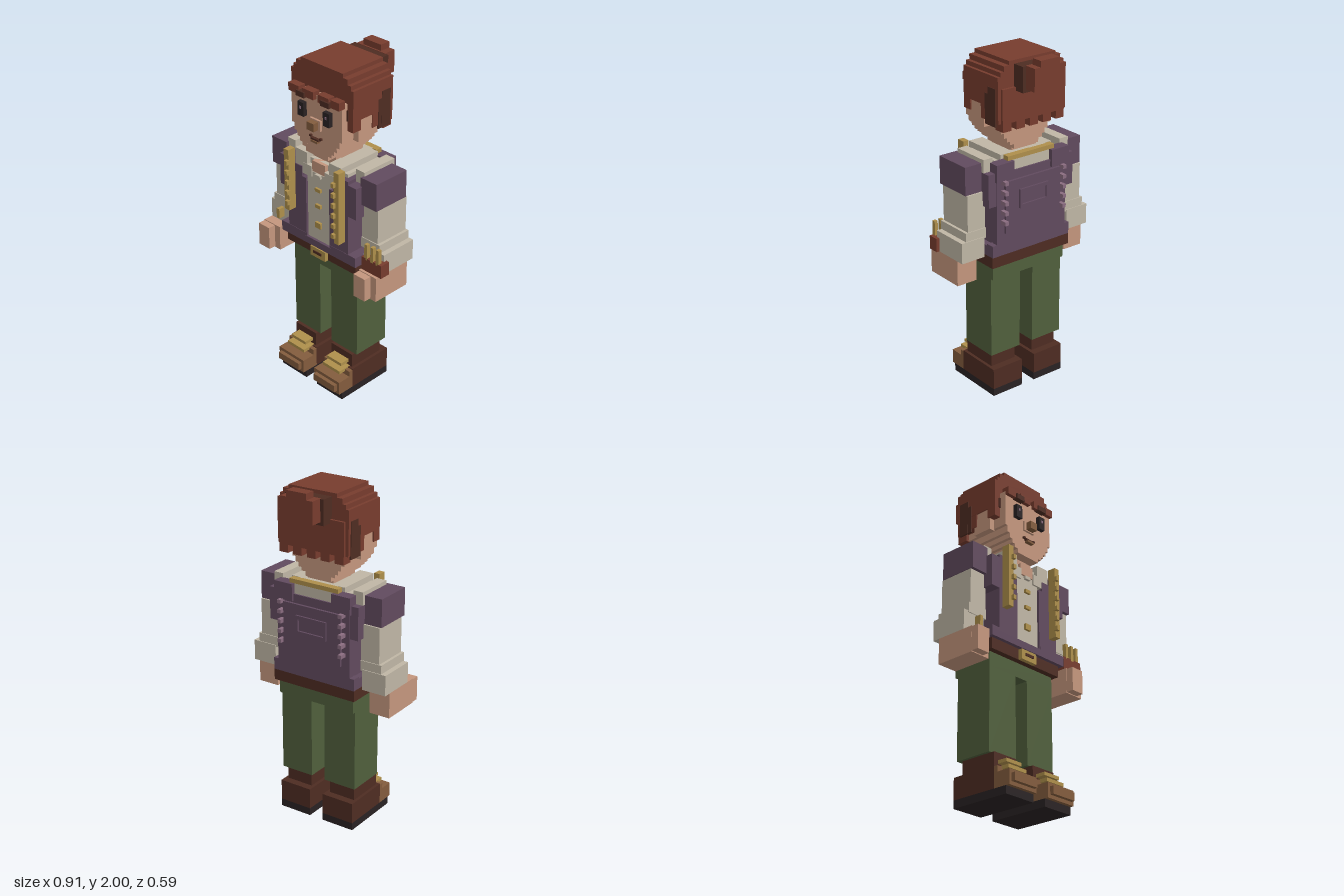
import * as THREE from 'three';

const colours = {
  skin: 0xc4967d, hair: 0x773c2e, darkBrown: 0x4e2c22, purple: 0x614a5e, lilac: 0x8a6c80,
  cream: 0xbfb6a5, gold: 0xae8f4b, green: 0x505f3c, leather: 0x835c3d, black: 0x292223,
};
const mats = {};
for (const [name, color] of Object.entries(colours)) {
  mats[name] = new THREE.MeshStandardMaterial({ color });
  mats[name].name = name;
}

const MID = -0.0125; // the body's own centre line

export function createModel() {
  const model = new THREE.Group();

  // Box from its limits on each axis
  const box = (name, mat, x0, x1, y0, y1, z0, z1) => {
    const mesh = new THREE.Mesh(new THREE.BoxGeometry(x1 - x0, y1 - y0, z1 - z0), mats[mat]);
    mesh.position.set((x0 + x1) / 2, (y0 + y1) / 2, (z0 + z1) / 2);
    mesh.name = name;
    model.add(mesh);
  };
  // Box centred on the body, by half width
  const mid = (name, mat, w, ...yz) => box(name, mat, MID - w, MID + w, ...yz);
  // Pair of boxes, by inner and outer distance from the centre line
  const pair = (name, mat, a, b, ...yz) => {
    box(name + 'Left', mat, MID + a, MID + b, ...yz);
    box(name + 'Right', mat, MID - b, MID - a, ...yz);
  };

  // Boots
  pair('sole', 'black', 0.045, 0.25, 0, 0.045, -0.125, 0.25);
  pair('boot', 'darkBrown', 0.045, 0.25, 0.045, 0.17, -0.125, 0.165);
  pair('bootShaft', 'darkBrown', 0.065, 0.232, 0.17, 0.255, -0.08, 0.15);
  pair('toeCap', 'leather', 0.045, 0.25, 0.045, 0.13, 0.165, 0.272);
  pair('toeTip', 'leather', 0.063, 0.232, 0.065, 0.11, 0.272, 0.295);
  pair('tongue', 'leather', 0.045, 0.25, 0.13, 0.165, 0.165, 0.19);
  pair('laceLow', 'gold', 0.08, 0.215, 0.152, 0.172, 0.15, 0.235);
  pair('laceHigh', 'gold', 0.09, 0.205, 0.193, 0.212, 0.15, 0.212);

  // Trousers and belt
  pair('leg', 'green', 0.045, 0.25, 0.255, 0.75, -0.105, 0.13);
  mid('hips', 'green', 0.25, 0.74, 0.83, -0.125, 0.13);
  mid('belt', 'darkBrown', 0.27, 0.825, 0.89, -0.148, 0.165);
  mid('buckle', 'gold', 0.058, 0.825, 0.885, 0.165, 0.19);
  mid('bucklePlate', 'darkBrown', 0.032, 0.85, 0.866, 0.19, 0.195);

  // Shirt body and collar
  mid('shirt', 'cream', 0.2, 0.89, 1.42, -0.125, 0.155);
  mid('shirtPlacket', 'cream', 0.09, 0.93, 1.35, 0.15, 0.172);
  pair('collarFront', 'cream', 0.085, 0.175, 1.36, 1.455, 0.09, 0.18);
  pair('collarPoint', 'cream', 0.05, 0.12, 1.32, 1.385, 0.15, 0.182);
  pair('collarSide', 'cream', 0.09, 0.175, 1.4, 1.455, -0.1, 0.1);
  mid('collarBack', 'cream', 0.13, 1.4, 1.455, -0.11, -0.07);
  mid('collarChain', 'gold', 0.16, 1.43, 1.455, -0.145, -0.105);
  mid('shirtButton', 'gold', 0.02, 1.017, 1.052, 0.172, 0.187);
  for (const y of [1.155, 1.255]) mid('shirtButton', 'gold', 0.02, y - 0.01, y + 0.01, 0.172, 0.187);
  mid('collarButton', 'cream', 0.02, 1.33, 1.35, 0.172, 0.187);

  // Vest
  pair('vestFront', 'purple', 0.09, 0.232, 0.93, 1.3, 0.14, 0.186);
  pair('vestLapel', 'purple', 0.12, 0.232, 1.3, 1.36, 0.1, 0.186);
  pair('vestLapelTop', 'purple', 0.175, 0.232, 1.36, 1.4, 0.1, 0.186);
  pair('vestSide', 'purple', 0.19, 0.232, 0.93, 1.4, -0.14, 0.145);
  pair('vestShoulder', 'purple', 0.232, 0.293, 1.19, 1.38, -0.148, 0.187);
  mid('vestHemFront', 'purple', 0.29, 0.89, 0.932, 0.1, 0.188);
  pair('vestHemStep', 'purple', 0.1, 0.29, 0.932, 0.95, 0.1, 0.188);
  pair('vestHemSide', 'purple', 0.19, 0.27, 0.89, 0.95, -0.145, 0.1);
  mid('vestHemBack', 'purple', 0.27, 0.89, 0.96, -0.15, -0.1);
  mid('vestBack', 'purple', 0.24, 0.96, 1.37, -0.15, -0.11);
  mid('vestBackPanel', 'purple', 0.19, 1.02, 1.32, -0.165, -0.15);
  mid('vestYoke', 'cream', 0.14, 1.37, 1.43, -0.14, -0.1);
  pair('vestStrapBack', 'purple', 0.13, 0.25, 1.33, 1.43, -0.165, -0.1);
  // Raised frame on the back
  for (const y of [1.16, 1.25]) mid('backFrameBar', 'purple', 0.1, y - 0.01, y + 0.01, -0.176, -0.165);
  pair('backFrameEnd', 'purple', 0.085, 0.1, 1.17, 1.24, -0.176, -0.165);
  for (let i = 0; i < 5; i++) {
    const y = 1.09 + i * 0.058;
    pair('backStud', 'lilac', 0.19, 0.213, y - 0.011, y + 0.011, -0.19, -0.15);
  }

  // Gold braids with studs
  box('braidRight', 'gold', -0.222, -0.186, 1.08, 1.455, 0.186, 0.235);
  box('braidLeft', 'gold', 0.161, 0.197, 1.02, 1.455, 0.186, 0.235);
  for (let i = 0; i < 6; i++) {
    const y = 1.07 + i * 0.0625;
    box('braidStudLeft', 'gold', 0.155, 0.176, y - 0.013, y + 0.013, 0.225, 0.253);
    if (i) box('braidStudRight', 'gold', -0.203, -0.182, y - 0.013, y + 0.013, 0.225, 0.253);
  }

  // Arms
  pair('shoulderSeam', 'cream', 0.232, 0.293, 1.375, 1.455, -0.105, 0.125);
  pair('upperSleeve', 'purple', 0.285, 0.4, 1.27, 1.432, -0.085, 0.145);
  pair('sleeve', 'cream', 0.278, 0.395, 1.0, 1.27, -0.095, 0.125);
  pair('sleeveFold', 'cream', 0.278, 0.412, 1.0, 1.06, -0.1, 0.13);
  pair('cuff', 'cream', 0.293, 0.443, 0.89, 1.01, -0.105, 0.125);
  pair('palm', 'skin', 0.315, 0.443, 0.74, 0.89, -0.06, 0.185);
  box('fingersLeft', 'skin', 0.305, 0.39, 0.745, 0.885, 0.185, 0.23);
  box('fingersRight', 'skin', -0.455, -0.37, 0.745, 0.885, 0.185, 0.23);
  box('cuffPin', 'gold', -0.372, -0.35, 0.93, 0.99, 0.125, 0.165);

  // Pouch on the left wrist with gold pins
  box('pouch', 'hair', 0.305, 0.43, 0.89, 0.97, 0.105, 0.168);
  box('pouchSide', 'hair', 0.42, 0.45, 0.89, 0.97, 0.105, 0.168);
  for (const x of [0.335, 0.38, 0.42]) box('pin', 'gold', x - 0.01, x + 0.01, 0.96, 1.055, 0.145, 0.168);

  // Neck and stepped face
  mid('neck', 'skin', 0.085, 1.39, 1.5, -0.08, 0.13);
  mid('throat', 'skin', 0.05, 1.355, 1.42, 0.08, 0.175);
  const jaw = [[0.085, 1.47], [0.11, 1.495], [0.13, 1.515], [0.15, 1.54], [0.17, 1.57], [0.188, 1.61]];
  jaw.forEach(([w, y], i) => mid('jaw', 'skin', w, y, i < 5 ? jaw[i + 1][1] : 1.825, -0.1, 0.187));
  pair('ear', 'skin', 0.185, 0.222, 1.6, 1.73, -0.02, 0.1);

  // Facial features
  pair('eye', 'black', 0.073, 0.118, 1.683, 1.763, 0.187, 0.212);
  pair('eyeGlint', 'lilac', 0.09, 0.102, 1.725, 1.74, 0.212, 0.215);
  pair('brow', 'darkBrown', 0.06, 0.123, 1.797, 1.828, 0.187, 0.22);
  mid('noseBase', 'skin', 0.04, 1.63, 1.69, 0.187, 0.2);
  mid('noseTip', 'leather', 0.026, 1.636, 1.682, 0.2, 0.235);
  mid('mouth', 'darkBrown', 0.03, 1.568, 1.578, 0.187, 0.205);
  pair('mouthCorner', 'darkBrown', 0.03, 0.045, 1.577, 1.588, 0.187, 0.2);
  mid('lip', 'leather', 0.025, 1.556, 1.568, 0.187, 0.21);

  // Hair cap in steps
  mid('hairCap', 'hair', 0.23, 1.77, 1.905, -0.15, 0.147);
  [[0.212, 1.93], [0.19, 1.96], [0.155, 1.982]].forEach(([w, y]) =>
    mid('hairStep', 'hair', w, 1.9, y, -0.15, 0.147));
  for (const [a, b] of [[-0.2, -0.12], [-0.095, -0.012], [0.02, 0.1], [0.115, 0.177]])
    box('fringe', 'hair', a, b, 1.803, 1.848, 0.165, 0.21);
  pair('sideLock', 'hair', 0.185, 0.23, 1.67, 1.78, 0.09, 0.147);
  pair('sideLockTrim', 'darkBrown', 0.186, 0.2, 1.73, 1.79, 0.14, 0.155);
  pair('sideHair', 'hair', 0.185, 0.23, 1.73, 1.78, -0.05, 0.09);
  pair('sideHairBack', 'hair', 0.18, 0.228, 1.65, 1.78, -0.15, -0.0);
  // Shaded patch behind each ear, in two steps
  pair('sideShade', 'darkBrown', 0.222, 0.233, 1.63, 1.84, -0.13, -0.065);
  pair('sideShadeFront', 'darkBrown', 0.222, 0.232, 1.63, 1.8, -0.065, -0.04);
  mid('backHair', 'hair', 0.21, 1.65, 1.84, -0.165, -0.09);
  for (const x of [-0.18, -0.09, 0, 0.09, 0.18])
    box('napeTuft', 'hair', MID + x - 0.028, MID + x + 0.028, 1.605, 1.65, -0.165, -0.1);

  // Bun
  mid('bunTie', 'darkBrown', 0.123, 1.82, 1.962, -0.225, -0.15);
  mid('bun', 'hair', 0.103, 1.838, 1.965, -0.295, -0.22);
  mid('bunTop', 'hair', 0.064, 1.965, 2.0, -0.295, -0.23);

  return model;
}
